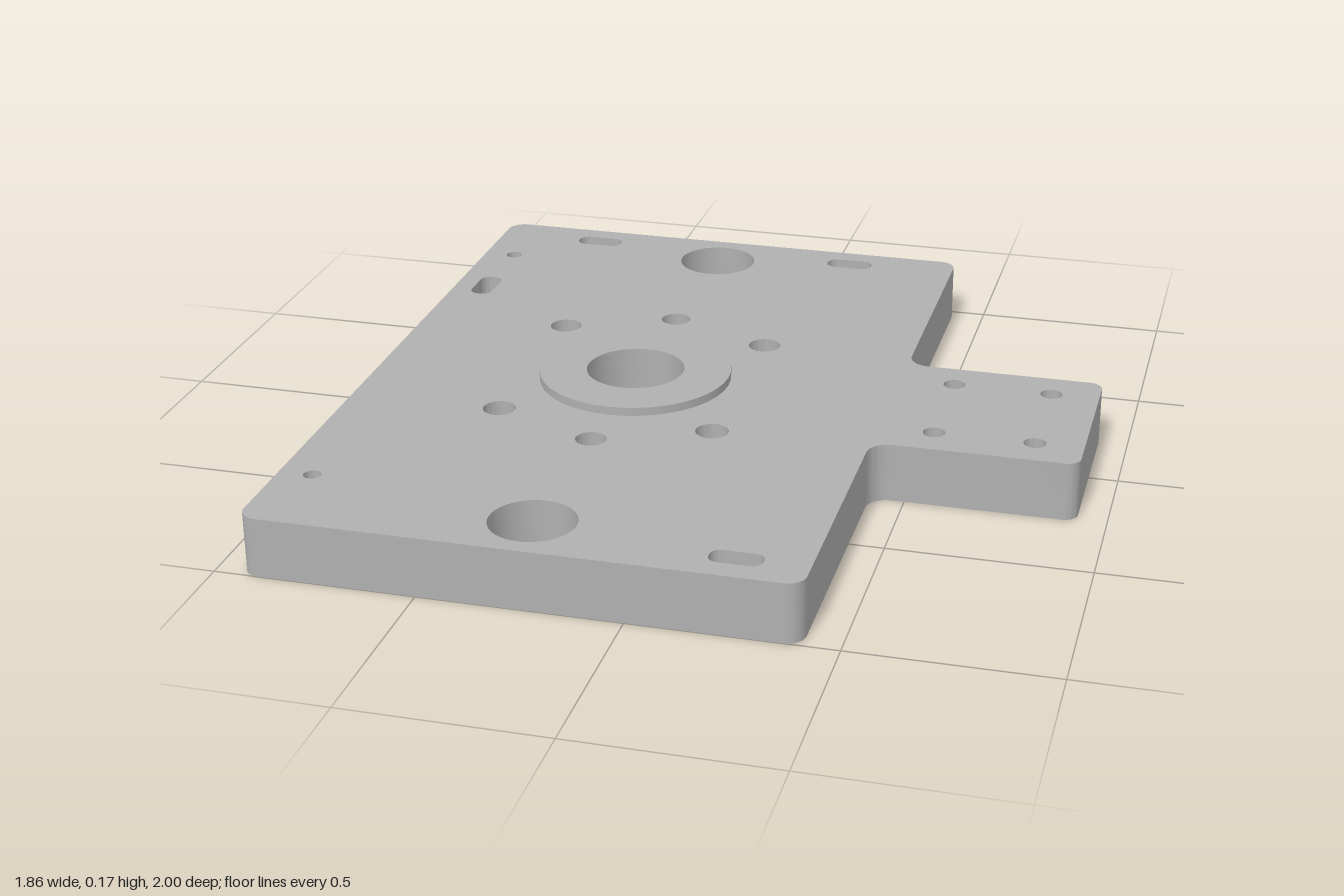
import * as THREE from 'three';
import { toCreasedNormals } from 'three/addons/utils/BufferGeometryUtils.js';

const HEIGHT = 0.152;     // plate thickness
const BOSS_TOP = 0.174;
const CX = -0.26;         // x of the main bore

// Right-angled outline with rounded corners; corners are [x, z, radius]
function roundedOutline(path, corners) {
  const n = corners.length, k = 0.4477;
  corners.forEach(([x, z, r], i) => {
    const toward = (q, d) => {
      const len = Math.hypot(q[0] - x, q[1] - z);
      return [x + (q[0] - x) / len * d, -(z + (q[1] - z) / len * d)];
    };
    const prev = corners[(i + n - 1) % n], next = corners[(i + 1) % n];
    const start = toward(prev, r);
    if (i === 0) path.moveTo(...start); else path.lineTo(...start);
    path.bezierCurveTo(...toward(prev, r * k), ...toward(next, r * k), ...toward(next, r));
  });
  path.closePath();
  return path;
}

const hole = (x, z, r) => new THREE.Path().absarc(x, -z, r, 0, Math.PI * 2, true);

function slot(x, z, w, d) {
  const a = w / 2, b = d / 2, r = 0.026;
  return roundedOutline(new THREE.Path(), [
    [x - a, z - b, r], [x + a, z - b, r], [x + a, z + b, r], [x - a, z + b, r]]);
}

// Upright slab between two heights
function slab(name, shape, y0, y1, material) {
  let geo = new THREE.ExtrudeGeometry(shape, { depth: y1 - y0, bevelEnabled: false, curveSegments: 20 });
  geo.rotateX(-Math.PI / 2);
  geo.translate(0, y0, 0);
  geo = toCreasedNormals(geo, 0.6);
  const mesh = new THREE.Mesh(geo, material);
  mesh.name = name;
  return mesh;
}

export function createModel() {
  const group = new THREE.Group();
  group.name = 'mountingPlate';
  const metal = new THREE.MeshStandardMaterial({ color: 0xb0b0b0 });
  metal.name = 'grey metal';

  // Plate with side tab
  const L = -0.932, R = 0.413, T = 0.926, W = 0.247;
  const plate = roundedOutline(new THREE.Shape(), [
    [L, 1, 0.045], [R, 1, 0.045], [R, W, 0.055], [T, W, 0.035],
    [T, -W, 0.035], [R, -W, 0.055], [R, -1, 0.045], [L, -1, 0.045]]);

  // Main bore and slots
  plate.holes.push(
    hole(CX, 0, 0.127),
    slot(-0.635, -0.916, 0.128, 0.06),
    slot(0.116, -0.916, 0.128, 0.06),
    slot(0.24, 0.911, 0.128, 0.06),
    slot(-0.847, -0.504, 0.06, 0.128));

  // Holes mirrored front to back
  const blind = [];
  for (const s of [-1, 1]) {
    plate.holes.push(hole(CX, s * 0.85, 0.106), hole(-0.847, s * 0.75, 0.022));
    for (const x of [CX - 0.278, CX + 0.278]) plate.holes.push(hole(x, s * 0.278, 0.042));
    for (const x of [0.553, 0.804]) plate.holes.push(hole(x, s * 0.15, 0.028));
    plate.holes.push(hole(CX, s * 0.395, 0.039));
    blind.push(s * 0.395);
  }
  group.add(slab('plate', plate, 0, HEIGHT, metal));

  // Floors of the two blind holes
  for (const z of blind) {
    const floor = new THREE.Shape().absarc(CX, -z, 0.039, 0, Math.PI * 2, false);
    group.add(slab('blindHoleFloor', floor, 0, 0.05, metal));
  }

  // Raised ring around the main bore
  const ring = new THREE.Shape().absarc(CX, 0, 0.249, 0, Math.PI * 2, false);
  ring.holes.push(hole(CX, 0, 0.127));
  group.add(slab('bossRing', ring, HEIGHT, BOSS_TOP, metal));

  return group;
}
